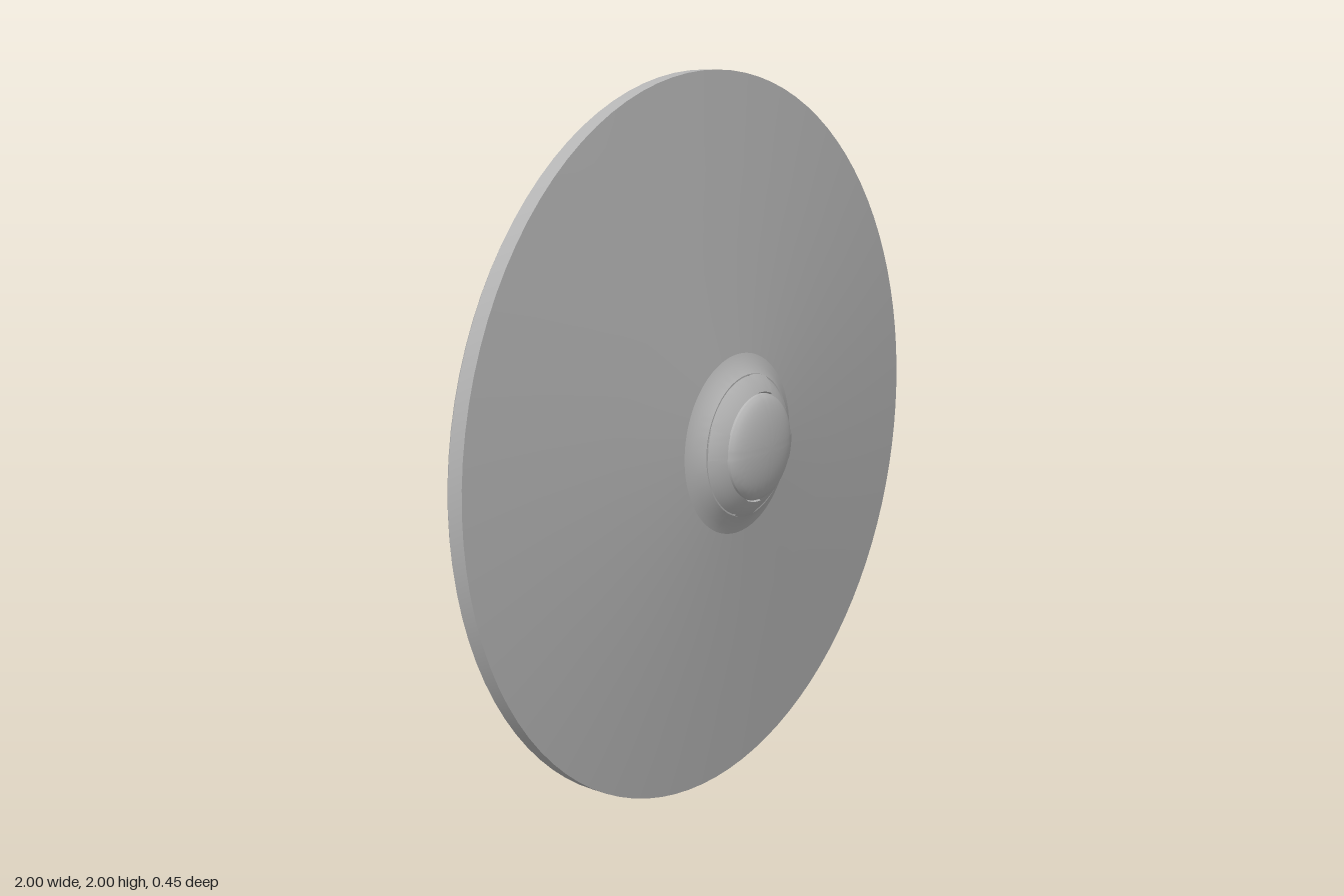
import * as THREE from 'three';
import { toCreasedNormals } from 'three/addons/utils/BufferGeometryUtils.js';

const hull = new THREE.MeshStandardMaterial({ color: 0xb4b4b4, side: THREE.DoubleSide });
hull.name = 'hull grey';

// Revolve [radius, z] points about the z axis; angles are counted from +x towards +y.
function revolve(name, points, segments = 96, centre = 0, span = Math.PI * 2) {
  const pts = points.map(([r, z]) => new THREE.Vector2(r, z));
  const lathe = new THREE.LatheGeometry(pts, segments, centre - span / 2 + Math.PI / 2, span);
  const mesh = new THREE.Mesh(toCreasedNormals(lathe.rotateX(Math.PI / 2), 0.4), hull);
  mesh.name = name;
  return mesh;
}

// Quarter ellipse from the pole out to its edge.
function dome(radius, edgeZ, poleZ, steps = 10) {
  return Array.from({ length: steps + 1 }, (_, i) => {
    const t = (i / steps) * Math.PI / 2;
    return [radius * Math.sin(t), edgeZ + (poleZ - edgeZ) * Math.cos(t)];
  });
}

export function createModel() {
  const model = new THREE.Group();
  model.name = 'saucer';
  const ship = new THREE.Group();
  ship.name = 'ship';
  ship.position.y = 1;
  model.add(ship);

  // Disc with its rim, from the back neck to the front bulge
  ship.add(revolve('backDome', dome(0.085, -0.178, -0.226)));
  ship.add(revolve('backNeck', [
    [0.08, -0.178], [0.092, -0.176], [0.097, -0.166], [0.118, -0.16], [0.128, -0.15],
    [0.142, -0.128], [0.158, -0.111], [0.185, -0.096], [0.235, -0.085]]));
  ship.add(revolve('backDisc', [
    [0.235, -0.087], [0.245, -0.083], [0.38, -0.056], [0.5, -0.037], [0.77, -0.014], [0.972, -0.003]]));
  ship.add(revolve('rim', [
    [0.972, -0.003], [0.975, -0.014], [0.988, -0.014], [1, -0.001], [1, 0.043]]));
  ship.add(revolve('frontDisc', [[1, 0.043], [0.75, 0.07], [0.5, 0.095], [0.25, 0.119]]));
  ship.add(revolve('frontBulge', [
    [0.25, 0.119], [0.225, 0.129], [0.197, 0.151], [0.193, 0.151], [0.175, 0.168], [0.145, 0.184]]));
  ship.add(revolve('frontDome', dome(0.147, 0.182, 0.226).reverse()));

  for (let i = 0; i < 4; i++) {
    const quarter = i * Math.PI / 2;
    // Raised windows round the front bulge
    ship.add(revolve('frontWindow', [
      [0.192, 0.15], [0.196, 0.156], [0.178, 0.174], [0.151, 0.188], [0.147, 0.182]],
      8, quarter - 0.175, 0.42));
    // Paired panes round the back neck
    for (const side of [-1, 1]) {
      ship.add(revolve('neckWindow', [
        [0.125, -0.152], [0.13, -0.153], [0.147, -0.131], [0.142, -0.127]],
        4, quarter + Math.PI / 4 + side * 0.14, 0.23));
    }
  }

  // Eight pods on the back, each a plate with two small lamps
  for (let i = 0; i < 8; i++) {
    const pod = new THREE.Group();
    pod.name = 'pod';
    pod.rotation.z = -0.175 + i * Math.PI / 4;
    const block = (name, size, x, y, z) => {
      const mesh = new THREE.Mesh(new THREE.BoxGeometry(...size), hull);
      mesh.name = name;
      mesh.position.set(x, y, z);
      mesh.rotation.y = -0.18;
      pod.add(mesh);
    };
    block('podPlate', [0.034, 0.088, 0.01], 0.37, 0, -0.058);
    for (const side of [-1, 1]) block('podLamp', [0.02, 0.026, 0.01], 0.37, side * 0.024, -0.064);
    ship.add(pod);
  }
  return model;
}
